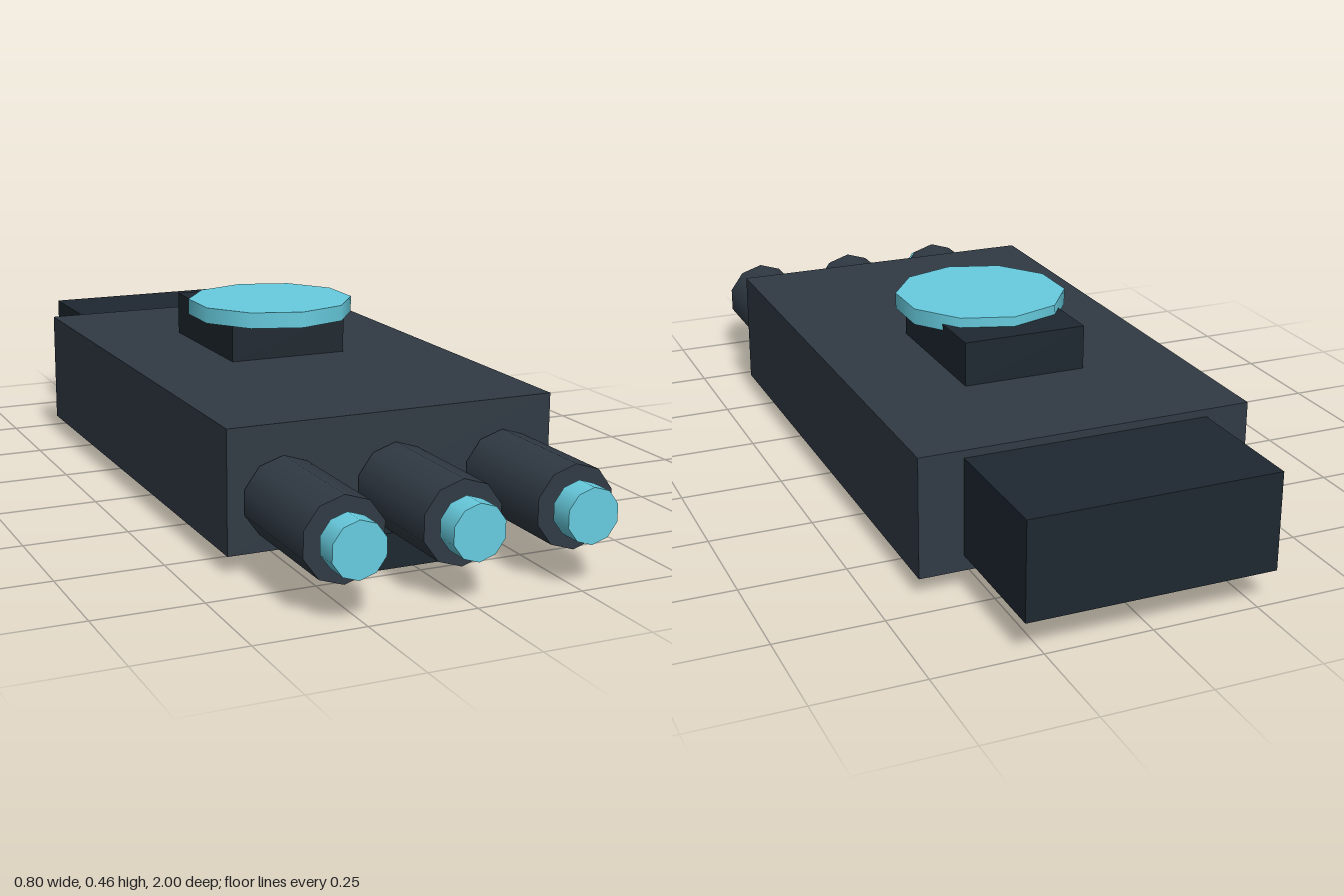
import * as THREE from 'three';

export function createModel() {
  const model = new THREE.Group();
  const hull = new THREE.MeshStandardMaterial({ color: 0x303a44 });
  const dark = new THREE.MeshStandardMaterial({ color: 0x1e2830 });
  const glow = new THREE.MeshStandardMaterial({ color: 0x67ccdf });

  function add(name, geometry, material, x, y, z) {
    const mesh = new THREE.Mesh(geometry, material);
    mesh.name = name;
    mesh.position.set(x, y, z);
    model.add(mesh);
  }

  // Box centred on x, given its width and its y and z ranges
  function block(name, material, width, y0, y1, z0, z1) {
    add(name, new THREE.BoxGeometry(width, y1 - y0, z1 - z0), material, 0, (y0 + y1) / 2, (z0 + z1) / 2);
  }

  // Ten-sided cylinder lying along z
  function rod(name, material, radius, x, z0, z1) {
    const geometry = new THREE.CylinderGeometry(radius, radius, z1 - z0, 10).rotateX(Math.PI / 2);
    add(name, geometry, material, x, 0.162, (z0 + z1) / 2);
  }

  block('body', hull, 0.796, 0.043, 0.327, -0.682, 0.618);
  block('rearBlock', dark, 0.586, 0.079, 0.309, -1, -0.68);
  block('keel', dark, 0.334, 0, 0.082, -0.842, 0.718);
  block('turretBase', dark, 0.301, 0.325, 0.433, -0.348, 0.037);

  // Disc on top of the turret base
  add('turretDisc', new THREE.CylinderGeometry(0.207, 0.207, 0.039, 10), glow, 0, 0.437, -0.081);

  // Three front barrels with glowing tips
  for (const x of [-0.27, 0, 0.27]) {
    rod('barrel', hull, 0.095, x, 0.625, 0.93);
    rod('barrelTip', glow, 0.063, x, 0.942, 1);
  }
  return model;
}
